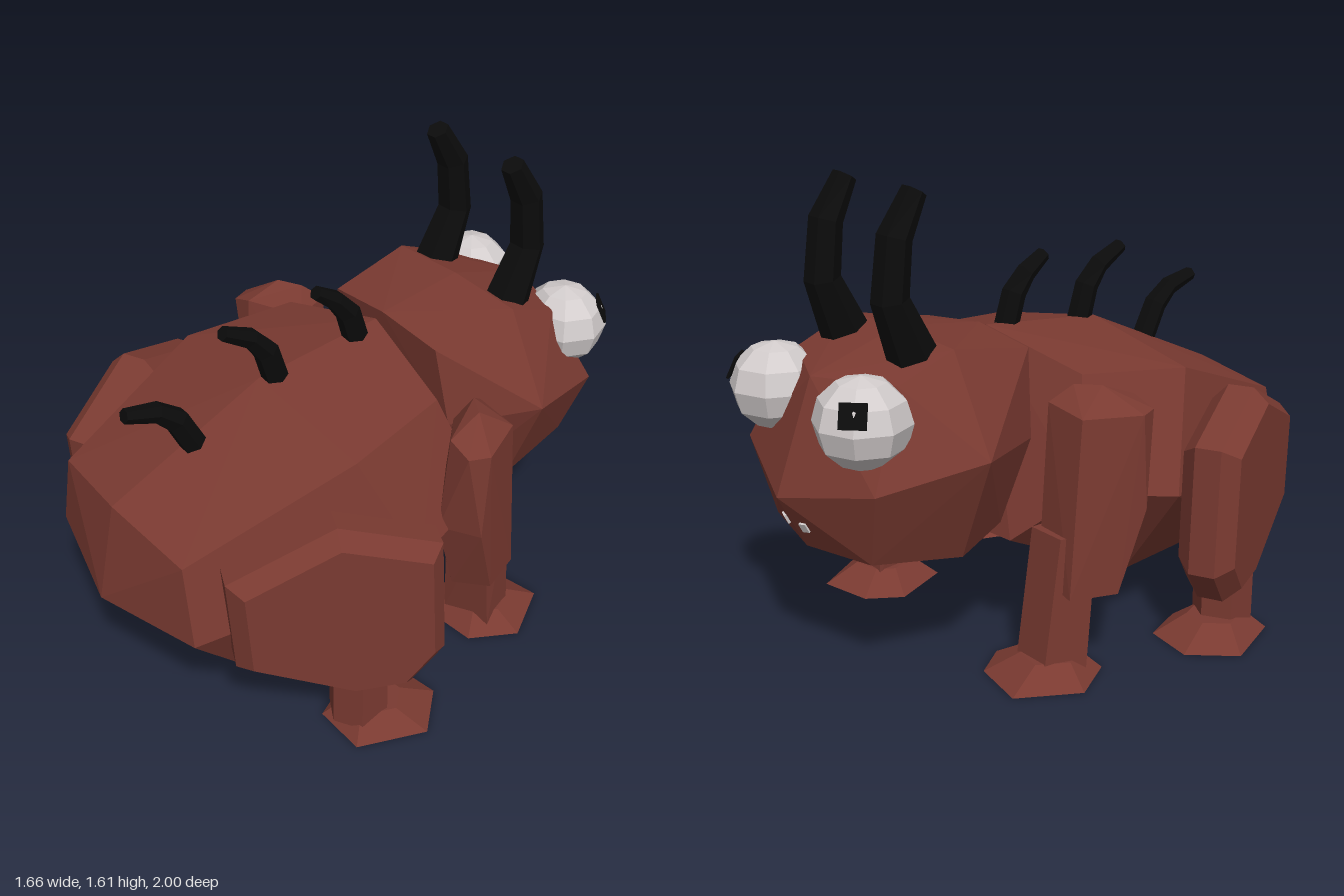
import * as THREE from 'three';
import { ConvexGeometry } from 'three/addons/geometries/ConvexGeometry.js';

const hide = new THREE.MeshStandardMaterial({ color: 0x7a3a31 });
hide.name = 'reddish brown hide';
const black = new THREE.MeshStandardMaterial({ color: 0x0b0b0b });
black.name = 'black horn';
const white = new THREE.MeshStandardMaterial({ color: 0xd2cccc });
white.name = 'eye white';

function mesh(name, geometry, material) {
  const m = new THREE.Mesh(geometry, material);
  m.name = name;
  return m;
}

// Faceted solid through corner points, mirrored when side is -1
const hull = (points, side = 1) =>
  new ConvexGeometry(points.map(([x, y, z]) => new THREE.Vector3(x * side, y, z)));

// Corner list completed with its mirror image across x = 0
const both = (points) => points.flatMap(([x, y, z]) => (x ? [[x, y, z], [-x, y, z]] : [[x, y, z]]));

// Flat-shaded copy of a geometry
function faceted(geometry) {
  const g = geometry.index ? geometry.toNonIndexed() : geometry;
  g.computeVertexNormals();
  return g;
}

// Bent spike: stations [z, y, half width in x, half depth], six-sided with end caps
function spike(x0, stations, sides = 6) {
  const pos = [], idx = [], n = stations.length;
  stations.forEach(([z, y, wx, wd], i) => {
    const a = stations[Math.max(i - 1, 0)], b = stations[Math.min(i + 1, n - 1)];
    const d = new THREE.Vector2(b[0] - a[0], b[1] - a[1]).normalize();
    for (let j = 0; j < sides; j++) {
      const t = (j / sides) * Math.PI * 2;
      const s = Math.sin(t) * wd;
      pos.push(x0 + Math.cos(t) * wx, y + s * d.x, z - s * d.y);
    }
  });
  for (let i = 0; i < n - 1; i++)
    for (let j = 0; j < sides; j++) {
      const k = (j + 1) % sides, p = i * sides, q = p + sides;
      idx.push(p + j, p + k, q + k, p + j, q + k, q + j);
    }
  const last = (n - 1) * sides;
  for (let j = 1; j < sides - 1; j++) {
    idx.push(0, j + 1, j);
    idx.push(last, last + j, last + j + 1);
  }
  const g = new THREE.BufferGeometry();
  g.setAttribute('position', new THREE.Float32BufferAttribute(pos, 3));
  g.setIndex(idx);
  return faceted(g);
}

// Flat flared foot: ground outline [x, z] drawn in towards the ankle
function foot(outline, ankle, side) {
  const top = outline.map(([x, z]) => [
    THREE.MathUtils.lerp(x, ankle[0], 0.5), 0.065, THREE.MathUtils.lerp(z, ankle[1], 0.5)]);
  return hull([...outline.map(([x, z]) => [x, 0, z]), ...top], side);
}

// Thigh: slab with bevelled rim, splayed outwards towards the front
function thigh(side) {
  const outline = [[0.17, 0.74], [0.15, 0.3], [0.25, 0.17], [0.43, 0.17], [0.78, 0.36], [0.8, 0.7], [0.48, 0.86]];
  const points = [];
  for (const [offset, scale] of [[-0.1, 0.84], [-0.045, 1], [0.045, 1], [0.1, 0.86]])
    for (const [z, y] of outline) {
      const zz = 0.47 + (z - 0.47) * scale, yy = 0.5 + (y - 0.5) * scale;
      points.push([0.72 - (zz - 0.2) * 0.456 + offset * 0.91, yy, zz + offset * 0.41]);
    }
  return hull(points, side);
}

function createModel() {
  const model = new THREE.Group();
  model.name = 'hornedBeast';

  model.add(mesh('body', hull(both([
    // rump
    [0, 0.755, 0.925], [0.36, 0.715, 0.89], [0, 0.41, 1], [0.42, 0.44, 0.9],
    [0, 0.14, 0.75], [0.37, 0.235, 0.72],
    // middle
    [0, 1.015, 0.34], [0.49, 0.935, 0.31], [0.63, 0.55, 0.15], [0.38, 0.2, 0.15], [0, 0.18, 0.2],
    // chest
    [0, 1.065, -0.16], [0.41, 0.97, -0.09], [0.54, 0.62, -0.2], [0.32, 0.42, -0.32], [0, 0.41, -0.33],
  ])), hide));

  model.add(mesh('head', hull(both([
    // back
    [0, 1.08, -0.19], [0.27, 1.05, -0.2], [0.32, 0.76, -0.23], [0.27, 0.47, -0.32],
    // widest part
    [0, 1.125, -0.525], [0.3, 1.11, -0.525], [0.48, 0.79, -0.525], [0.33, 0.425, -0.525],
    // brow and muzzle
    [0, 1.02, -0.86], [0.29, 1.03, -0.73], [0.37, 0.73, -0.88], [0, 0.65, -1],
    [0.28, 0.47, -0.84], [0, 0.46, -0.9],
  ])), hide));

  // Spines along the back
  const spines = [
    [[-0.06, 1.02], [-0.02, 1.15], [0.035, 1.215], [0.115, 1.27]],
    [[0.28, 0.99], [0.32, 1.125], [0.38, 1.195], [0.485, 1.25]],
    [[0.6, 0.85], [0.675, 1.0], [0.745, 1.058], [0.86, 1.09]],
  ];
  const thickness = [[0.042, 0.046], [0.04, 0.045], [0.034, 0.036], [0.026, 0.025]];
  spines.forEach((path, i) =>
    model.add(mesh('backSpine' + (i + 1), spike(0.02, path.map((p, k) => [...p, ...thickness[k]])), black)));

  for (const [label, side] of [['left', 1], ['right', -1]]) {
    // Horn
    model.add(mesh(label + 'Horn', spike(0.19 * side, [
      [-0.595, 1.06, 0.08, 0.085], [-0.682, 1.27, 0.064, 0.06],
      [-0.66, 1.46, 0.06, 0.055], [-0.582, 1.595, 0.042, 0.04],
    ]), black));

    // Eye with pupil plate
    const eye = new THREE.Group();
    eye.name = label + 'Eye';
    eye.position.set(0.25 * side, 0.93, -0.835);
    const ball = mesh('eyeball', faceted(new THREE.SphereGeometry(0.155, 8, 6)), white);
    ball.scale.set(1.05, 0.95, 1);
    const pupil = mesh('pupil', new THREE.BoxGeometry(0.085, 0.08, 0.009), black);
    const gaze = new THREE.Vector3(0.64 * side, 0.42, -0.64).normalize();
    pupil.position.copy(gaze).multiplyScalar(0.149);
    pupil.lookAt(gaze.clone().multiplyScalar(2));
    eye.add(ball, pupil);
    model.add(eye);

    // Nostril
    const nostril = mesh(label + 'Nostril', new THREE.BoxGeometry(0.028, 0.035, 0.009), white);
    nostril.position.set(0.055 * side, 0.55, -0.938);
    nostril.rotation.set(-0.48, -0.32 * side, 0);
    model.add(nostril);

    // Foreleg
    const fore = new THREE.Group();
    fore.name = label + 'Foreleg';
    fore.add(mesh('upperForeleg', hull([
      [0.48, 0.975, -0.19], [0.56, 0.98, -0.14], [0.44, 0.92, -0.26], [0.6, 0.9, -0.26],
      [0.69, 0.9, -0.08], [0.66, 0.9, -0.01], [0.57, 0.93, -0.01], [0.43, 0.88, -0.15],
      [0.69, 0.58, -0.06], [0.56, 0.58, 0.015], [0.42, 0.58, -0.12],
      [0.43, 0.33, -0.29], [0.6, 0.3, -0.305], [0.66, 0.3, -0.15], [0.56, 0.3, -0.06], [0.42, 0.33, -0.14],
    ], side), hide));
    fore.add(mesh('lowerForeleg', hull([
      [0.42, 0.5, -0.31], [0.56, 0.5, -0.31], [0.59, 0.5, -0.18], [0.42, 0.5, -0.15],
      [0.4, 0.03, -0.36], [0.54, 0.03, -0.36], [0.59, 0.03, -0.22], [0.42, 0.03, -0.165],
    ], side), hide));
    fore.add(mesh('frontFoot', foot(
      [[0.27, -0.34], [0.35, -0.46], [0.55, -0.5], [0.67, -0.3], [0.58, -0.14], [0.36, -0.12]],
      [0.49, -0.26], side), hide));
    model.add(fore);

    // Hind leg
    const hind = new THREE.Group();
    hind.name = label + 'HindLeg';
    hind.add(mesh('thigh', thigh(side), hide));
    hind.add(mesh('lowerHindLeg', new THREE.CylinderGeometry(0.105, 0.105, 0.27, 6).toNonIndexed(), hide));
    faceted(hind.children[1].geometry);
    hind.children[1].position.set(0.62 * side, 0.165, 0.4);
    hind.add(mesh('hindFoot', foot(
      [[0.83, 0.27], [0.7, 0.13], [0.52, 0.16], [0.46, 0.32], [0.55, 0.5], [0.74, 0.5]],
      [0.63, 0.38], side), hide));
    model.add(hind);
  }
  return model;
}

export { createModel };
